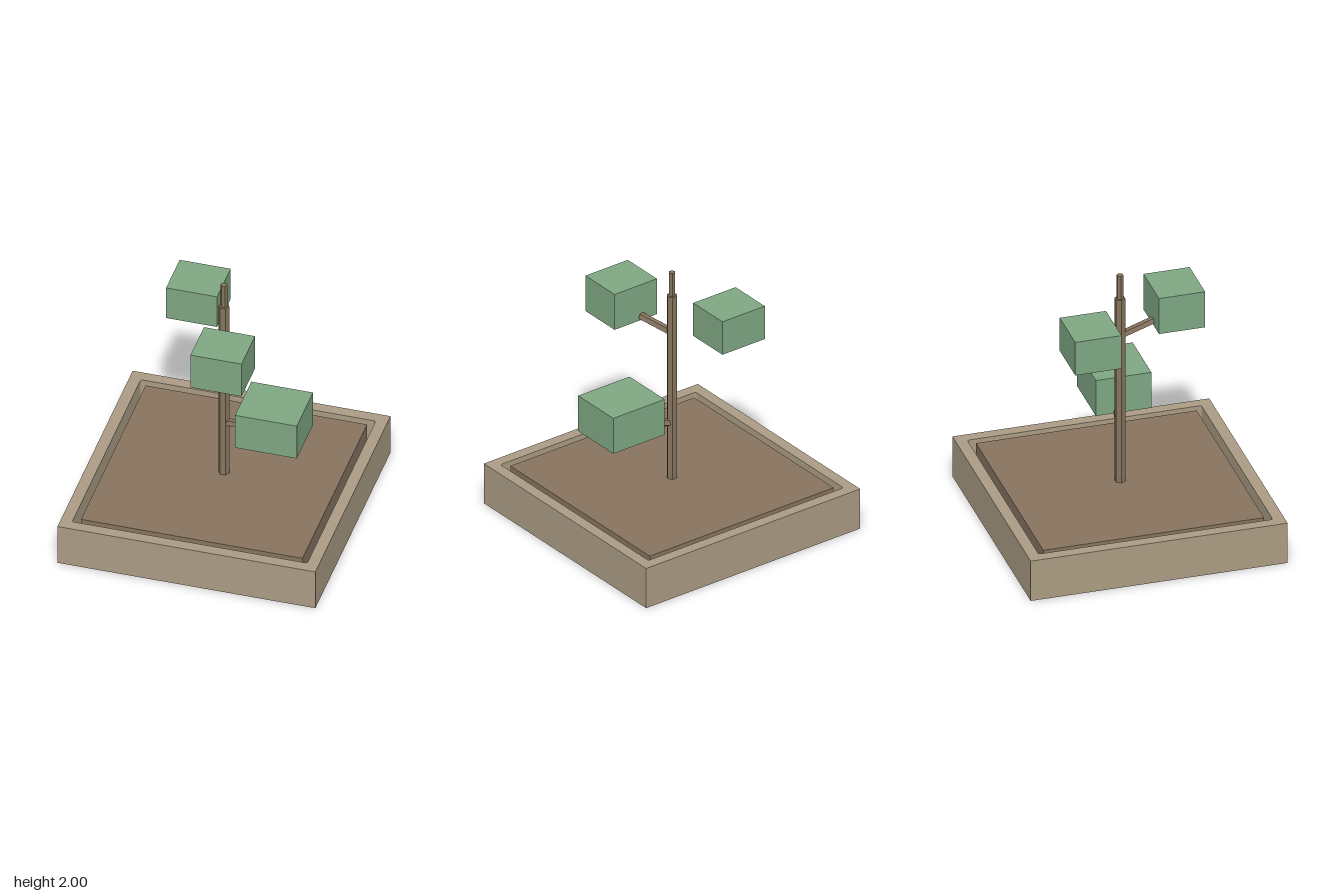
import * as THREE from 'three';

const material = (name, color) => {
  const m = new THREE.MeshStandardMaterial({ color, flatShading: true });
  m.name = name;
  return m;
};

export function createModel() {
  const clay = material('tan clay', 0xab9c84);
  const brown = material('brown earth and bark', 0x87745f);
  const green = material('leaf green', 0x7fa783);
  const model = new THREE.Group();
  model.name = 'pottedTree';

  const add = (name, geometry, mat, x, y, z, parent = model) => {
    const mesh = new THREE.Mesh(geometry, mat);
    mesh.name = name;
    mesh.position.set(x, y, z);
    parent.add(mesh);
    return mesh;
  };

  // box given by its minimum and maximum corners
  const addBox = (name, mat, a, b, parent) => add(name,
    new THREE.BoxGeometry(b[0] - a[0], b[1] - a[1], b[2] - a[2]), mat,
    (a[0] + b[0]) / 2, (a[1] + b[1]) / 2, (a[2] + b[2]) / 2, parent);

  // square pot: floor slab plus a wall with a softly cornered opening
  const pot = new THREE.Group();
  pot.name = 'pot';
  model.add(pot);
  const outer = 0.96, inner = 0.875, r = 0.015, height = 0.325, floor = 0.08;
  addBox('potFloor', clay, [-outer, 0, -outer], [outer, floor, outer], pot);
  const wall = new THREE.Shape();
  wall.moveTo(-outer, -outer).lineTo(outer, -outer).lineTo(outer, outer).lineTo(-outer, outer).closePath();
  const opening = new THREE.Path();
  for (let i = 0; i < 4; i++) {
    const a = i * Math.PI / 2;
    const sx = i === 0 || i === 3 ? 1 : -1, sy = i < 2 ? 1 : -1;
    opening.absarc(sx * (inner - r), sy * (inner - r), r, a, a + Math.PI / 2, false);
  }
  opening.closePath();
  wall.holes.push(opening);
  const wallGeometry = new THREE.ExtrudeGeometry(wall, { depth: height - floor, bevelEnabled: false, curveSegments: 3 });
  wallGeometry.rotateX(-Math.PI / 2);
  add('potWall', wallGeometry, clay, 0, floor, 0, pot);

  // soil block, separated from the wall by a narrow groove
  addBox('soil', brown, [-0.825, floor, -0.825], [0.825, 0.32, 0.825]);

  // hexagonal trunk with a thinner tip
  const post = (name, radius, y0, y1) => {
    const g = new THREE.CylinderGeometry(radius, radius, y1 - y0, 6);
    g.rotateY(Math.PI / 6);
    add(name, g, brown, 0, (y0 + y1) / 2, 0);
  };
  post('trunk', 0.04, 0.3, 1.81);
  post('trunkTip', 0.025, 1.8, 2);

  // five-sided branches with one ridge underneath
  const branch = (name, from, to) => {
    const start = new THREE.Vector3(...from), end = new THREE.Vector3(...to);
    const g = new THREE.CylinderGeometry(0.03, 0.03, start.distanceTo(end), 5);
    g.rotateX(Math.PI / 2);
    const mid = start.clone().lerp(end, 0.5);
    add(name, g, brown, mid.x, mid.y, mid.z).lookAt(end);
  };
  branch('lowerBranch', [0, 0.77, 0], [0.27, 0.813, 0.05]);
  branch('upperBranch', [0, 1.505, 0], [0.075, 1.545, 0.268]);

  // block-shaped foliage
  addBox('lowerFoliage', green, [0.165, 0.78, -0.13], [0.625, 1.07, 0.285]);
  addBox('frontFoliage', green, [-0.07, 1.51, 0.27], [0.31, 1.8, 0.615]);
  addBox('backFoliage', green, [-0.47, 1.505, -0.478], [-0.09, 1.775, -0.132]);

  return model;
}
